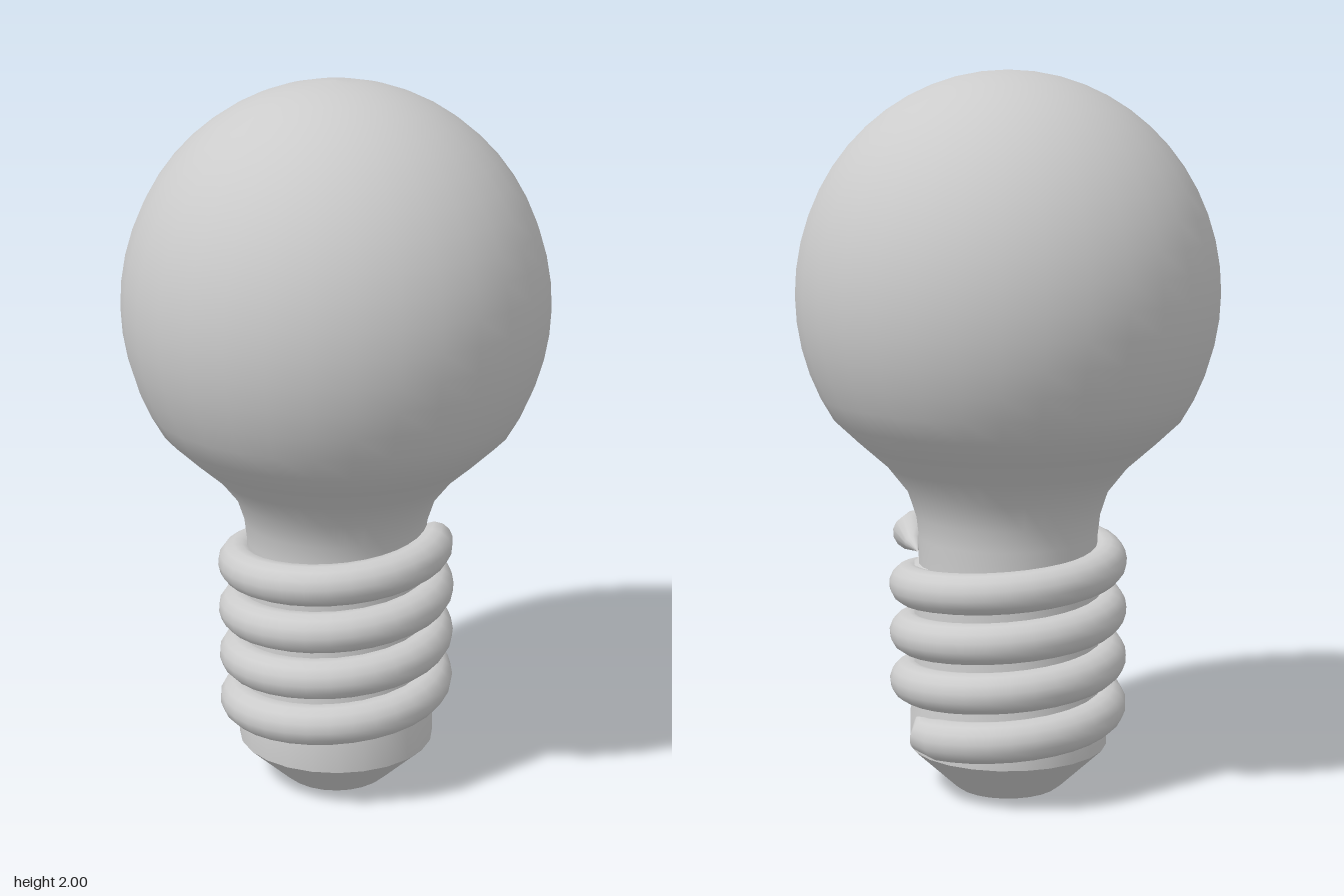
import * as THREE from 'three';
import { toCreasedNormals } from 'three/addons/utils/BufferGeometryUtils.js';

const material = new THREE.MeshStandardMaterial({ color: 0xcccccc, side: THREE.DoubleSide });

function addMesh(group, name, geometry) {
  const mesh = new THREE.Mesh(geometry, material);
  mesh.name = name;
  group.add(mesh);
}

const points = (list) => list.map(([r, y]) => new THREE.Vector2(r, y));

// How far in from a thread end (0 = tip, 1 = full section)
const TURNS = 4, START = 0.08, END = TURNS * Math.PI * 2 + 0.04, RUNOUT = 0.45;
const ramp = (d) => THREE.MathUtils.smoothstep(d, 0, RUNOUT);

// Rising screw line whose two ends sink into the cap
class ScrewCurve extends THREE.Curve {
  getPoint(t, target = new THREE.Vector3()) {
    const a = THREE.MathUtils.lerp(START, END, t);
    const low = 1 - ramp(a - START), high = 1 - ramp(END - a);
    const r = 0.276 - 0.02 * (low + high);
    const y = 0.174 + 0.1375 * a / (Math.PI * 2) + 0.05 * low - 0.04 * high;
    return target.set(r * Math.cos(a), y, -r * Math.sin(a));
  }
}

// Tube along the screw line, narrowed to a point at both ends
function threadGeometry() {
  const rings = TURNS * 32, sides = 14;
  const curve = new ScrewCurve();
  const geometry = new THREE.TubeGeometry(curve, rings, 0.057, sides, false);
  const pos = geometry.attributes.position;
  const p = new THREE.Vector3();
  for (let i = 0; i <= rings; i++) {
    const centre = curve.getPointAt(i / rings);
    const a = THREE.MathUtils.lerp(START, END, curve.getUtoTmapping(i / rings));
    const scale = Math.max(0.05, ramp(a - START) * ramp(END - a));
    for (let j = 0; j <= sides; j++) {
      const k = i * (sides + 1) + j;
      p.fromBufferAttribute(pos, k).sub(centre).multiplyScalar(scale).add(centre);
      pos.setXYZ(k, p.x, p.y, p.z);
    }
  }
  return geometry;
}

export function createModel() {
  const group = new THREE.Group();
  group.name = 'lightBulb';

  // Glass: narrow neck flaring into an almost round globe
  const glass = points([[0.25, 0.6], [0.25, 0.72], [0.257, 0.78], [0.28, 0.85], [0.335, 0.92], [0.414, 0.99]]);
  for (let i = 0; i <= 18; i++) {
    const a = THREE.MathUtils.lerp(-0.6, Math.PI / 2, i / 18);
    glass.push(new THREE.Vector2(Math.max(0, 0.583 * Math.cos(a)), 1.395 + 0.605 * Math.sin(a)));
  }
  addMesh(group, 'glassGlobe', new THREE.LatheGeometry(glass, 32));

  // Cap: tapered foot, straight collar and the core inside the thread
  const cap = points([[0, 0], [0.145, 0], [0.158, 0.01], [0.278, 0.122], [0.278, 0.21],
    [0.266, 0.26], [0.264, 0.64], [0.24, 0.65]]);
  addMesh(group, 'screwCap', toCreasedNormals(new THREE.LatheGeometry(cap, 24), 0.6));

  // Screw thread
  addMesh(group, 'screwThread', threadGeometry());
  return group;
}
